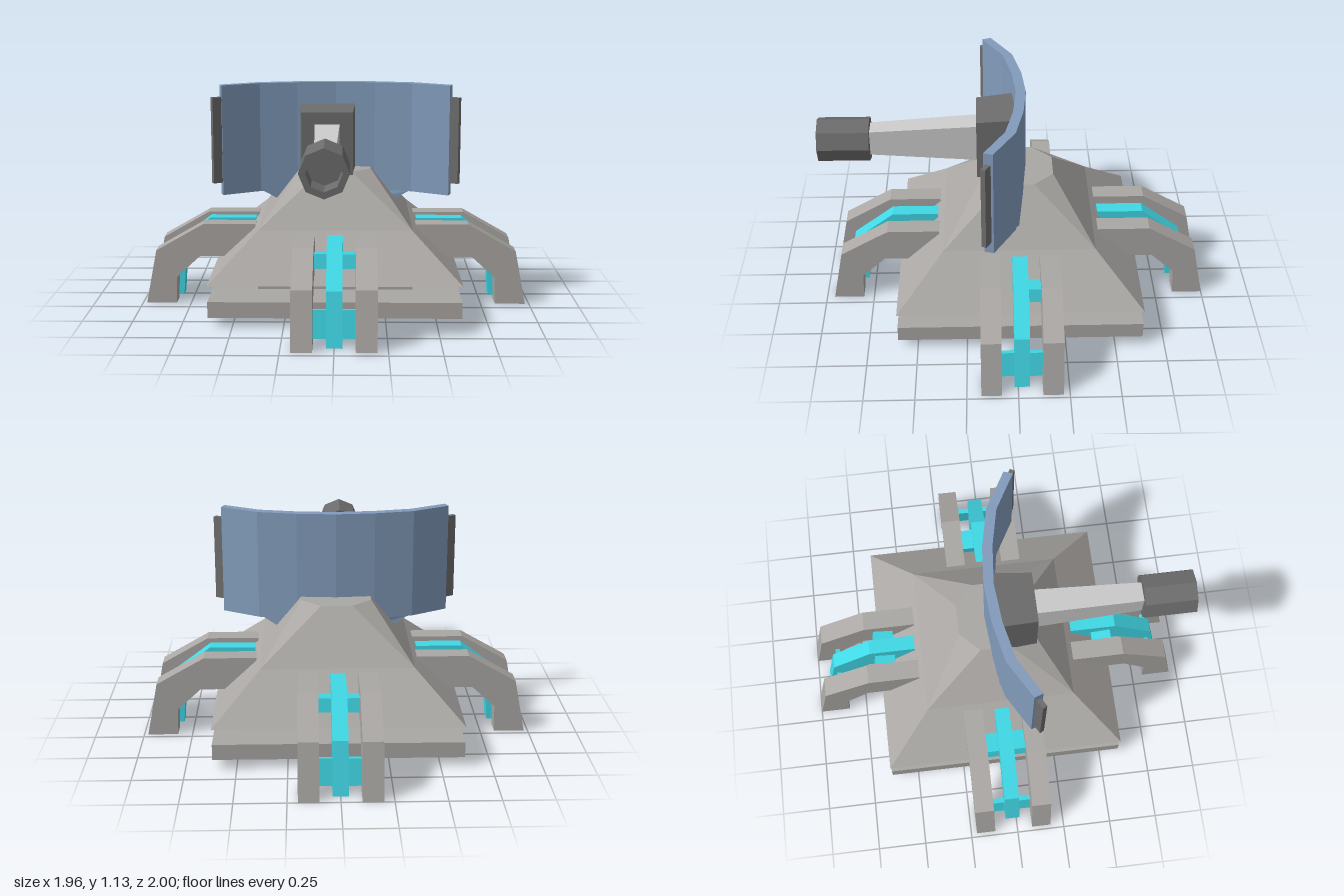
import * as THREE from 'three';

const paint = (color, side = THREE.FrontSide) => new THREE.MeshStandardMaterial({ color, side, flatShading: true });

// Skin over rings of [x, y, z] corners (counter-clockwise seen from the last ring), with optional caps
function loft(rings, capFirst, capLast) {
  const pos = [];
  const same = (a, b) => a.every((v, i) => Math.abs(v - b[i]) < 1e-6);
  const tri = (a, b, c) => {
    if (!same(a, b) && !same(b, c) && !same(a, c)) pos.push(...a, ...b, ...c);
  };
  const n = rings[0].length;
  for (let r = 0; r < rings.length - 1; r++) {
    for (let i = 0; i < n; i++) {
      const j = (i + 1) % n;
      const lo = rings[r], hi = rings[r + 1];
      tri(lo[i], lo[j], hi[j]);
      tri(lo[i], hi[j], hi[i]);
    }
  }
  const first = rings[0], last = rings[rings.length - 1];
  for (let i = 1; i < n - 1; i++) {
    if (capFirst) tri(first[0], first[i + 1], first[i]);
    if (capLast) tri(last[0], last[i], last[i + 1]);
  }
  const geo = new THREE.BufferGeometry();
  geo.setAttribute('position', new THREE.Float32BufferAttribute(pos, 3));
  geo.computeVertexNormals();
  return geo;
}

// Box given by its size and its lowest height
const block = (w, h, d, y) => new THREE.BoxGeometry(w, h, d).translate(0, y + h / 2, 0);

// Square ring with corners cut by (w - c), at height y
const squareRing = (w, c, y) => [
  [w, y, c], [w, y, -c], [c, y, -w], [-c, y, -w],
  [-w, y, -c], [-w, y, c], [-c, y, w], [c, y, w],
];

// Rectangle ring facing +z
const rectRing = (cx, cy, hx, hy, z) => [
  [cx - hx, cy - hy, z], [cx + hx, cy - hy, z], [cx + hx, cy + hy, z], [cx - hx, cy + hy, z],
];

// Bent beam between z0 and z1 from [outer x, outer y, inner x, inner y] stations, open at both ends
const beam = (stations, z0, z1) => loft(stations.map(([ox, oy, ix, iy]) => [
  [ix, iy, z0], [ox, oy, z0], [ox, oy, z1], [ix, iy, z1],
]), false, false);

export function createModel() {
  const model = new THREE.Group();
  model.name = 'turret';
  const grey = paint(0xaaa7a4, THREE.DoubleSide);
  const pale = paint(0xcccccc);
  const dark = paint(0x6c6c6c);
  const blue = paint(0x829cbb, THREE.DoubleSide);
  const cyan = paint(0x40d8e6, THREE.DoubleSide);

  const add = (parent, name, geo, mat) => {
    const mesh = new THREE.Mesh(geo, mat);
    mesh.name = name;
    parent.add(mesh);
    return mesh;
  };

  const base = new THREE.Group();
  base.name = 'base';
  base.position.z = -0.02;
  model.add(base);

  // Square plates with a six-sided boss underneath
  add(base, 'groundPlate', block(1.236, 0.08, 1.236, 0.05), grey);
  add(base, 'spacerBlock', block(0.776, 0.11, 0.776, 0.105), grey);
  add(base, 'boss', new THREE.CylinderGeometry(0.15, 0.135, 0.04, 6)
    .rotateY(Math.PI / 4).translate(0, 0.036, 0), pale);

  // Sloping hull, square and open below, eight-sided on top
  add(base, 'hull', loft([
    squareRing(0.62, 0.62, 0.21),
    squareRing(0.385, 0.385, 0.43),
    squareRing(0.18, 0.08, 0.69),
  ], false, true), grey);

  // Four legs: twin arms, a centre rib and leaning cross bars
  const arm = [[0.41, 0.42, 0.41, 0.25], [0.68, 0.42, 0.7, 0.25],
    [0.925, 0.28, 0.82, 0.14], [0.98, 0, 0.825, 0]];
  const rib = [[0.42, 0.418, 0.42, 0.255], [0.66, 0.418, 0.68, 0.25],
    [0.87, 0.26, 0.797, 0.14], [0.92, 0, 0.807, 0]];
  for (let k = 0; k < 4; k++) {
    const leg = new THREE.Group();
    leg.name = ['leftLeg', 'backLeg', 'rightLeg', 'frontLeg'][k];
    leg.rotation.y = (k * Math.PI) / 2;
    base.add(leg);
    for (const z of [-0.2, 0.1]) add(leg, 'arm', beam(arm, z, z + 0.1), grey);
    add(leg, 'rib', beam(rib, -0.038, 0.038), cyan);
    // The left leg's upper bar only reaches one arm
    const end = k === 0 ? 0 : 0.1;
    add(leg, 'upperBar', new THREE.BoxGeometry(0.105, 0.07, 0.1 + end).rotateZ(0.15)
      .translate(0.588, 0.333, (end - 0.1) / 2), cyan);
    add(leg, 'lowerBar', new THREE.BoxGeometry(0.025, 0.135, 0.2).rotateZ(0.12)
      .translate(0.86, 0.1, 0), cyan);
  }

  // Curved shield with a tapered tongue reaching down into the hull
  const front = [[0, -0.01], [0.2, 0.008], [0.39, 0.05], [0.575, 0.155]];
  const back = [[0, -0.06], [0.2, -0.043], [0.4, 0], [0.59, 0.11]];
  const mirrored = (pts) => [...pts.slice(1).reverse().map(([x, z]) => [-x, z]), ...pts];
  const outline = (near, far) => [...mirrored(near), ...mirrored(far).reverse()];
  const shieldPlan = new THREE.Shape(outline(front, back).map(([x, z]) => new THREE.Vector2(x, z)));
  add(model, 'shield', new THREE.ExtrudeGeometry(shieldPlan, { depth: 0.563, bevelEnabled: false })
    .rotateX(Math.PI / 2).translate(0, 1.13, 0), blue);
  const tongueRing = (near, far, y) => outline(near, far).map(([x, z]) => [x, y, z]);
  add(model, 'shieldTongue', loft([
    tongueRing([[0, -0.01], [0.14, 0.003], [0.28, 0.026]], [[0, -0.06], [0.14, -0.048], [0.28, -0.026]], 0.51),
    tongueRing([[0, -0.01], [0.2, 0.008], [0.38, 0.048]], [[0, -0.06], [0.2, -0.043], [0.38, -0.004]], 0.57),
  ], false, false), blue);

  // Shield side panels
  for (const s of [-1, 1]) {
    const panel = add(model, 'sidePanel', new THREE.BoxGeometry(0.065, 0.44, 0.025), dark);
    panel.position.set(s * 0.598, 0.85, 0.142);
    panel.rotation.y = -s * 0.52;
  }

  // Gun: housing, tapered barrel and hollow eight-sided muzzle
  const gun = new THREE.Group();
  gun.name = 'gun';
  gun.position.set(-0.043, 0.84, 0);
  model.add(gun);
  add(gun, 'housing', loft([
    rectRing(0, 0.005, 0.143, 0.175, -0.02),
    rectRing(0, 0, 0.13, 0.16, 0.19),
  ], true, true), dark);
  add(gun, 'barrel', loft([
    rectRing(0, 0, 0.064, 0.1, 0.17),
    rectRing(0, 0, 0.05, 0.065, 0.75),
  ], true, true), pale);
  const muzzle = [[0, 0.735], [0.115, 0.735], [0.115, 1], [0.083, 1], [0.083, 0.85], [0, 0.85]];
  add(gun, 'muzzle', new THREE.LatheGeometry(muzzle.map(([x, y]) => new THREE.Vector2(x, y)), 8)
    .rotateX(Math.PI / 2), dark);

  return model;
}
